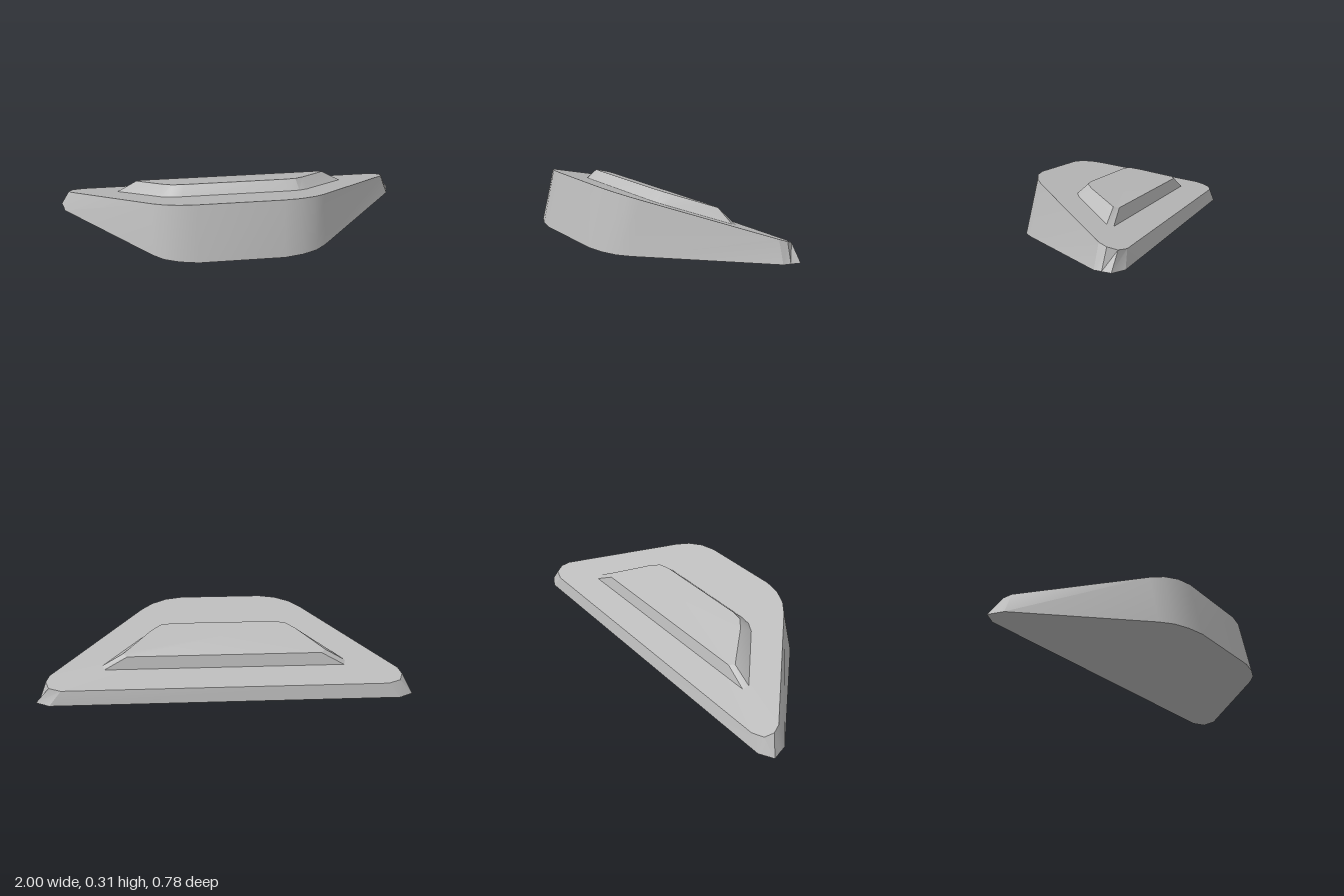
import * as THREE from 'three';
import { toCreasedNormals } from 'three/addons/utils/BufferGeometryUtils.js';

// Mirror a right-hand half outline (front to back) into a closed loop,
// and lift every point onto the plane y = height + slope * z.
function loop(half, height, slope) {
  const left = half.map(([x, z]) => [-x, z]).reverse();
  return [...half, ...left].map(([x, z]) => [x, height + slope * z, z]);
}

// Skin between a lower and an upper loop, with flat caps.
function loft(lower, upper, closeBottom) {
  const pos = [];
  const tri = (...corners) => corners.forEach((c) => pos.push(...c));
  const middle = (ring) => [0, 1, 2].map((k) => ring.reduce((s, p) => s + p[k], 0) / ring.length);
  const top = middle(upper);
  const bottom = middle(lower);
  lower.forEach((a, i) => {
    const j = (i + 1) % lower.length;
    tri(a, lower[j], upper[j]);
    tri(a, upper[j], upper[i]);
    tri(top, upper[i], upper[j]);
    if (closeBottom) tri(bottom, lower[j], a);
  });
  const geometry = new THREE.BufferGeometry();
  geometry.setAttribute('position', new THREE.Float32BufferAttribute(pos, 3));
  return toCreasedNormals(geometry, 0.45);
}

export function createModel() {
  const group = new THREE.Group();
  group.name = 'wedgeBlock';
  const grey = new THREE.MeshStandardMaterial({ color: 0xbbbbbb });
  grey.name = 'light grey';

  const add = (name, geometry) => {
    const mesh = new THREE.Mesh(geometry, grey);
    mesh.name = name;
    group.add(mesh);
  };

  const slope = 0.331;
  const deck = 0.204;

  // Sloping body with a rounded front and clipped rear tips
  const foot = [[0.23, 0.39], [0.33, 0.37], [0.41, 0.337], [0.47, 0.287],
    [0.975, -0.26], [1, -0.35], [0.925, -0.39]];
  const rim = [[0.23, 0.32], [0.32, 0.305], [0.4, 0.27], [0.46, 0.222],
    [0.93, -0.267], [0.945, -0.31], [0.925, -0.355], [0.86, -0.376]];
  // the rear tip of the foot gets one extra point so both loops match
  foot.splice(5, 0, [0.985, -0.3]);
  add('body', loft(loop(foot, 0, 0), loop(rim, deck, slope), true));

  // Raised bevelled panel on the deck
  const panelFoot = [[0.3, 0.07], [0.36, 0.062], [0.41, 0.035],
    [0.655, -0.205], [0.645, -0.237]];
  const panelTop = [[0.28, 0.02], [0.345, 0.01], [0.395, -0.03],
    [0.545, -0.2], [0.52, -0.222]];
  add('raisedPanel', loft(loop(panelFoot, deck, slope), loop(panelTop, 0.269, 0.342), false));

  return group;
}
